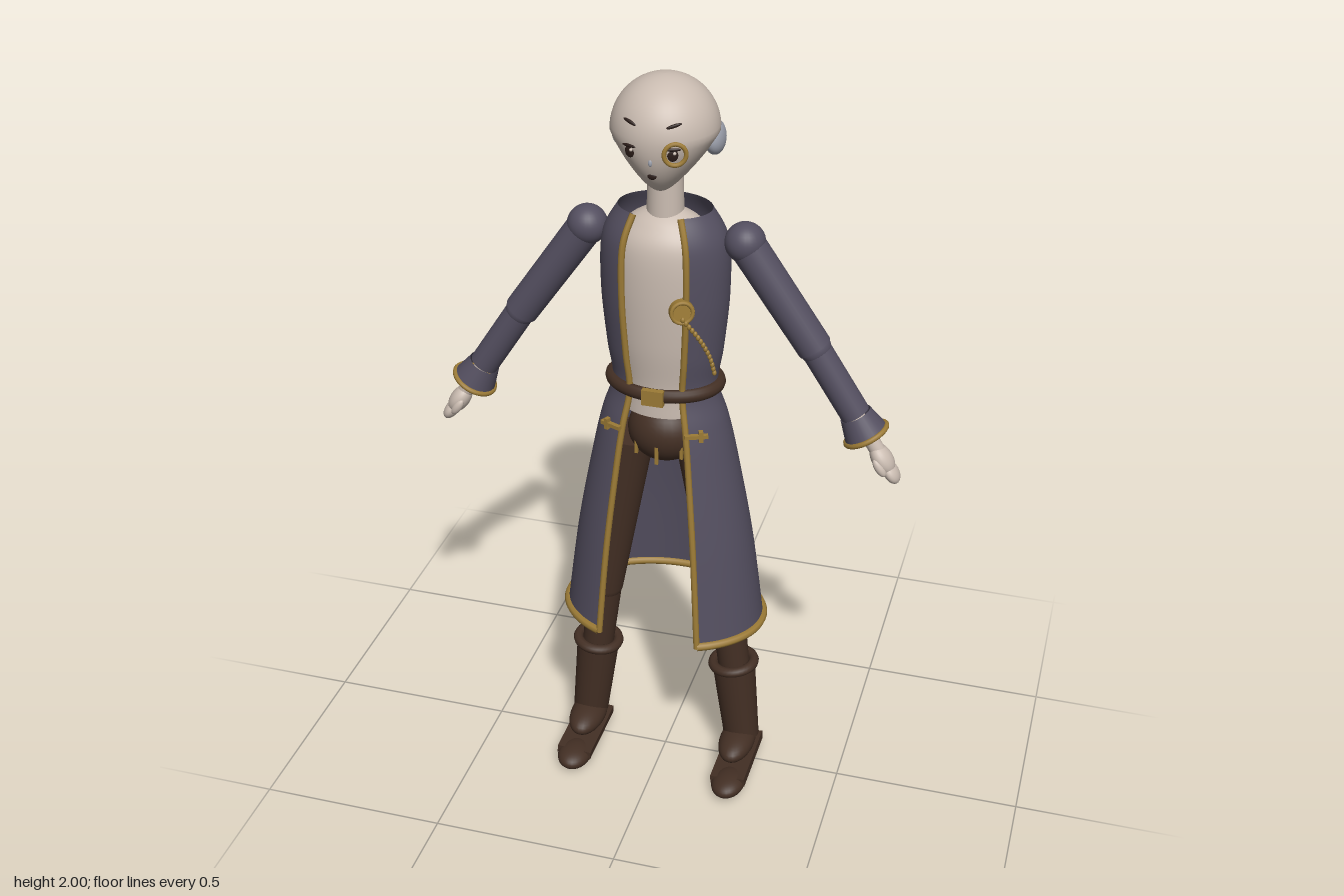
import * as THREE from 'three';

const mat = (name, color, double) => {
  const m = new THREE.MeshStandardMaterial({ color });
  m.name = name;
  if (double) m.side = THREE.DoubleSide;
  return m;
};
const V = (x, y, z) => new THREE.Vector3(x, y, z);
const UP = V(0, 1, 0);
const DEPTH = 0.74; // body cross-sections are ellipses this deep

export function createModel() {
  const model = new THREE.Group();
  const skin = mat('skin', 0xcabcb1);
  const cloth = mat('coat cloth', 0x544f60, true);
  const leather = mat('brown leather', 0x432f24);
  const gold = mat('gold trim', 0x9c7b36);
  const hair = mat('grey hair', 0xa0a4b0);
  const dark = mat('dark features', 0x2a1c18);

  const add = (name, geo, material, parent = model) => {
    const m = new THREE.Mesh(geo, material);
    m.name = name;
    parent.add(m);
    return m;
  };
  const ball = (name, material, pos, size, rot = [0, 0, 0], parent = model) => {
    const m = add(name, new THREE.SphereGeometry(1, 28, 20), material, parent);
    m.position.set(...pos);
    m.scale.set(...size);
    m.rotation.set(...rot);
    return m;
  };
  const limb = (name, material, a, b, ra, rb, open = false) => {
    const d = b.clone().sub(a);
    const m = add(name, new THREE.CylinderGeometry(rb, ra, d.length(), 28, 1, open), material);
    m.position.copy(a).addScaledVector(d, 0.5);
    m.quaternion.setFromUnitVectors(UP, d.normalize());
    return m;
  };
  const ringAt = (name, material, pos, dir, r, tube) => {
    const m = add(name, new THREE.TorusGeometry(r, tube, 10, 36), material);
    m.position.copy(pos);
    m.quaternion.setFromUnitVectors(V(0, 0, 1), dir);
    return m;
  };
  const tube = (name, material, pts, r, n = 60) =>
    add(name, new THREE.TubeGeometry(new THREE.CatmullRomCurve3(pts), n, r, 8), material);

  // Head: a sphere whose lower half narrows to a chin
  const HY = 1.868, R = 0.132, CHIN = 0.148;
  const headGeo = new THREE.SphereGeometry(1, 48, 36);
  const p = headGeo.attributes.position;
  for (let i = 0; i < p.count; i++) {
    const y = p.getY(i), t = Math.max(0, -y);
    p.setXYZ(i, p.getX(i) * R * (1 - 0.55 * t), HY + y * (y < 0 ? CHIN : R),
      p.getZ(i) * 0.135 * (1 - 0.15 * t) + 0.02 * t);
  }
  headGeo.computeVertexNormals();
  add('head', headGeo, skin);
  const faceZ = (x, y) => {
    const u = (y - HY) / (y < HY ? CHIN : R), t = Math.max(0, -u);
    const xs = x / (R * (1 - 0.55 * t));
    return 0.135 * (1 - 0.15 * t) * Math.sqrt(Math.max(0, 1 - u * u - xs * xs)) + 0.02 * t;
  };
  const onFace = (name, material, x, y, w, h, roll = 0) =>
    ball(name, material, [x, y, faceZ(x, y)], [w, h, 0.004], [0, x * 7, roll]);

  // Face details
  for (const s of [-1, 1]) {
    onFace('eye', dark, s * 0.052, 1.847, 0.013, 0.015);
    onFace('upperLid', dark, s * 0.053, 1.862, 0.019, 0.004);
    onFace('eyeGlint', skin, s * 0.052 + 0.005, 1.853, 0.004, 0.004).position.z += 0.003;
    onFace('brow', dark, s * 0.052, 1.916, 0.02, 0.0045, s * 0.3);
    ball('sideHair', hair, [s * 0.113, 1.845, -0.03], [0.026, 0.043, 0.047], [0, 0, s * 0.12]);
  }
  onFace('nose', hair, 0, 1.826, 0.005, 0.009);
  onFace('mouth', dark, 0, 1.787, 0.011, 0.008);
  ball('backHair', hair, [0, 1.828, -0.108], [0.085, 0.04, 0.025], [0.15, 0, 0]);
  ringAt('monocle', gold, V(0.058, 1.85, faceZ(0.058, 1.85) + 0.004), V(0.38, 0, 1).normalize(), 0.026, 0.0055);

  // Neck and torso
  limb('neck', skin, V(0, 1.62, 0), V(0, 1.77, 0), 0.047, 0.043);
  const profile = (list, n) => new THREE.SplineCurve(list.map(([r, y]) => new THREE.Vector2(r, y))).getPoints(n);
  const torso = profile([[0.112, 1.12], [0.112, 1.2], [0.132, 1.32], [0.142, 1.47], [0.132, 1.58], [0.09, 1.635], [0.04, 1.665]], 40);
  add('torso', new THREE.LatheGeometry(torso, 48).scale(1, 1, DEPTH), skin);

  // Long coat, open at the front
  const coat = profile([[0.27, 0.49], [0.235, 0.75], [0.19, 0.99], [0.165, 1.1], [0.137, 1.195], [0.15, 1.3], [0.163, 1.45], [0.158, 1.59], [0.118, 1.67]], 70);
  const GAP = Math.PI / 6;
  add('coat', new THREE.LatheGeometry(coat, 64, GAP, 2 * Math.PI - 2 * GAP).scale(1, 1, DEPTH), cloth);
  const ring = (r, a, y) => V(r * Math.sin(a), y, r * Math.cos(a) * DEPTH);
  for (const s of [-1, 1]) tube('frontTrim', gold, coat.map((q) => ring(q.x, s * GAP, q.y)), 0.0085, 100);
  const hem = [];
  for (let i = 0; i <= 40; i++) hem.push(ring(0.27, GAP + (i / 40) * (2 * Math.PI - 2 * GAP), 0.494));
  tube('hemTrim', gold, hem, 0.0115, 120);

  // Belt and buckle
  const belt = add('belt', new THREE.TorusGeometry(0.138, 0.018, 12, 64).rotateX(Math.PI / 2), leather);
  belt.scale.z = 0.755;
  belt.position.y = 1.197;
  add('buckle', new THREE.BoxGeometry(0.056, 0.042, 0.016), gold).position.set(0, 1.197, 0.116);

  // Brooch with hanging chain
  const brooch = limb('brooch', gold, V(0.07, 1.445, 0.108), V(0.078, 1.447, 0.124), 0.031, 0.031);
  ringAt('broochRim', gold, brooch.position.clone().add(V(0.003, 0, 0.007)), V(0.45, 0.1, 1).normalize(), 0.026, 0.005);
  const chain = new THREE.CatmullRomCurve3([V(0.08, 1.43, 0.128), V(0.115, 1.375, 0.108), V(0.138, 1.32, 0.09), V(0.148, 1.27, 0.078)]);
  chain.getSpacedPoints(14).forEach((q) => ball('chainLink', gold, q.toArray(), [0.0055, 0.0075, 0.0055]));

  // Hips
  ball('hips', leather, [0, 1.05, 0], [0.098, 0.088, 0.088]);
  add('hipStrap', new THREE.BoxGeometry(0.009, 0.05, 0.008), gold).position.set(0, 1.01, 0.083);

  for (const s of [-1, 1]) {
    // Coat clasps and hip tassels
    const clasp = new THREE.Group();
    clasp.name = 'clasp';
    clasp.position.set(s * 0.112, 1.1, 0.112);
    clasp.rotation.y = s * 0.4;
    add('claspBar', new THREE.BoxGeometry(0.06, 0.01, 0.012), gold, clasp);
    add('claspPin', new THREE.BoxGeometry(0.011, 0.03, 0.014), gold, clasp).position.x = s * 0.012;
    model.add(clasp);
    add('hipTassel', new THREE.BoxGeometry(0.008, 0.035, 0.008), gold).position.set(s * 0.06, 1.015, 0.062);

    // Arms
    const shoulder = V(s * 0.2, 1.595, 0), elbow = V(s * 0.382, 1.335, 0);
    const wrist = V(s * 0.492, 1.165, 0), cuffEnd = V(s * 0.522, 1.112, 0);
    ball('shoulder', cloth, shoulder.toArray(), [0.051, 0.051, 0.051]);
    limb('upperArm', cloth, shoulder, elbow, 0.046, 0.044);
    ball('elbow', cloth, elbow.toArray(), [0.041, 0.041, 0.041]);
    limb('forearm', cloth, elbow, wrist, 0.038, 0.038);
    limb('cuff', cloth, wrist, cuffEnd, 0.041, 0.057, true);
    const dir = cuffEnd.clone().sub(wrist).normalize();
    ringAt('cuffTrim', gold, cuffEnd, dir, 0.056, 0.007);

    // Hands
    const tilt = [0, 0, s * 0.6];
    limb('wrist', skin, wrist, V(s * 0.553, 1.07, 0), 0.02, 0.02);
    ball('palm', skin, [s * 0.567, 1.047, 0], [0.026, 0.045, 0.034], tilt);
    ball('fingers', skin, [s * 0.592, 1.012, 0], [0.018, 0.032, 0.03], tilt);
    ball('thumb', skin, [s * 0.565, 1.035, 0.028], [0.012, 0.027, 0.012], tilt);

    // Legs and boots
    const hip = V(s * 0.098, 1.02, 0), knee = V(s * 0.172, 0.53, 0);
    const bootTop = V(s * 0.195, 0.335, 0), ankle = V(s * 0.222, 0.09, 0);
    limb('thigh', leather, hip, knee, 0.068, 0.05);
    ball('knee', leather, knee.toArray(), [0.05, 0.05, 0.05]);
    limb('shin', leather, knee, bootTop, 0.047, 0.043);
    limb('boot', leather, bootTop, ankle, 0.059, 0.049);
    ringAt('bootCuff', leather, bootTop, ankle.clone().sub(bootTop).normalize(), 0.056, 0.014);

    const foot = new THREE.Group();
    foot.name = 'foot';
    foot.position.set(s * 0.226, 0, 0);
    foot.rotation.z = s * 0.08;
    ball('instep', leather, [0, 0.09, 0.033], [0.049, 0.036, 0.096], [0, 0, 0], foot);
    ball('toe', leather, [0, 0.032, 0.15], [0.046, 0.028, 0.063], [0, 0, 0], foot);
    add('sole', new THREE.BoxGeometry(0.096, 0.024, 0.22), leather, foot).position.set(0, 0.042, 0.05);
    model.add(foot);
  }
  return model;
}
